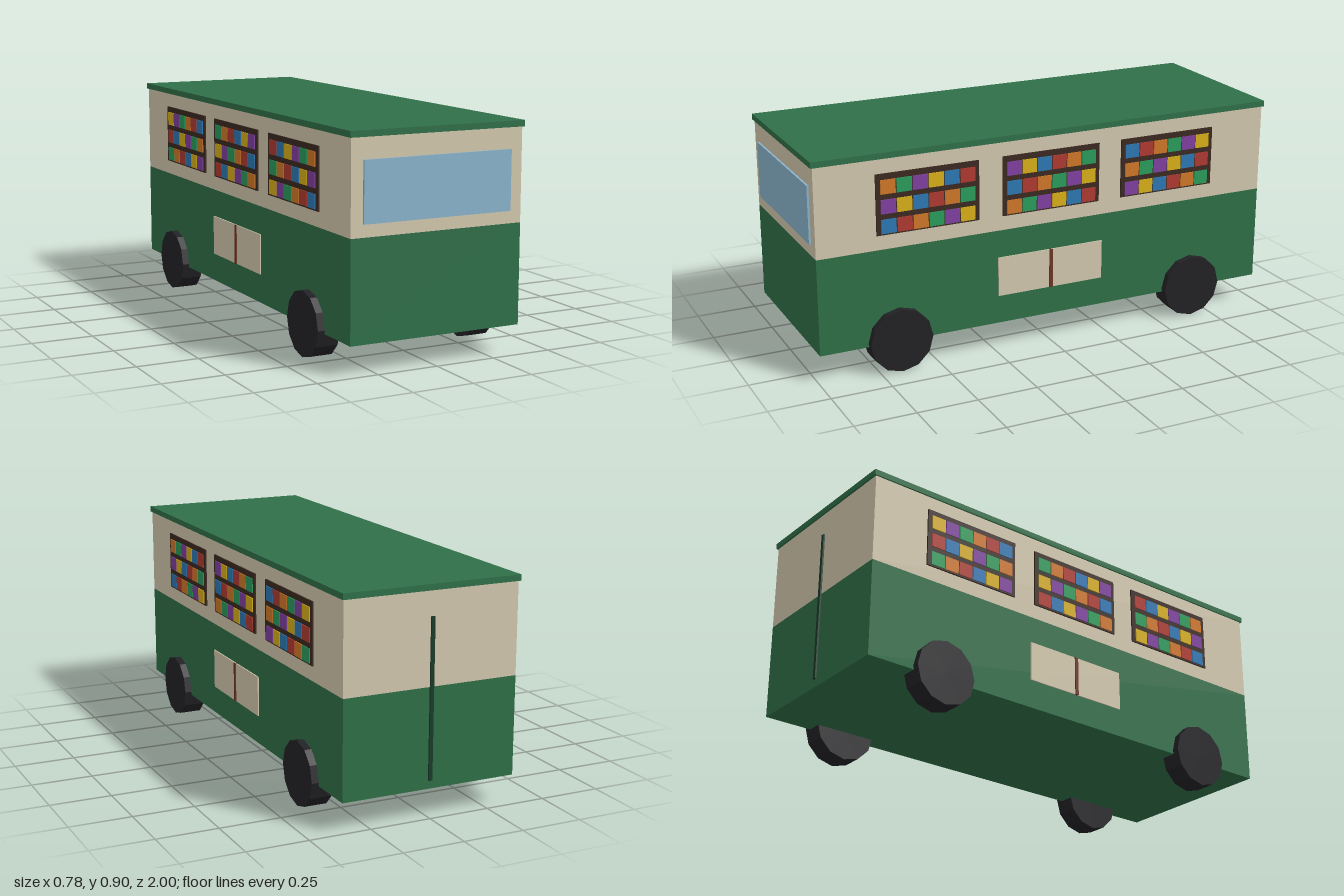
import * as THREE from 'three';

const mat = (color) => new THREE.MeshStandardMaterial({ color, flatShading: true });
const GREEN = mat(0x2f6f48), CREAM = mat(0xd3c8ae), GLASS = mat(0x8ab4cc), TYRE = mat(0x222226);
const WOOD = mat(0x3b2a20), TRIM = mat(0x6b3525), SEAM = mat(0x1a3a28);
// orange, green, purple, yellow, blue, red
const BOOKS = [0xd07828, 0x2a9d5c, 0x8040a0, 0xd8b018, 0x2e78b4, 0xb03a30].map(mat);

const WALL = 0.363, END = 0.992;

// box given by its lower and upper limits on each axis
function box(parent, name, material, [x0, x1], [y0, y1], [z0, z1]) {
  const mesh = new THREE.Mesh(new THREE.BoxGeometry(x1 - x0, y1 - y0, z1 - z0), material);
  mesh.position.set((x0 + x1) / 2, (y0 + y1) / 2, (z0 + z1) / 2);
  mesh.name = name;
  parent.add(mesh);
}

// thin panel on a side wall, standing out by depth
function sidePanel(parent, name, material, side, depth, y, z) {
  const x = side > 0 ? [WALL, WALL + depth] : [-WALL - depth, -WALL];
  box(parent, name, material, x, y, z);
}

function bookshelf(side, index) {
  const shelf = new THREE.Group();
  shelf.name = 'bookshelf';
  const zc = 0.532 * (1 - index);
  sidePanel(shelf, 'shelfBack', WOOD, side, 0.006, [0.573, 0.819], [zc - 0.215, zc + 0.215]);
  for (let row = 0; row < 3; row++) {
    const y = 0.767 - row * 0.0795;
    for (let col = 0; col < 6; col++) {
      const z = zc + (2.5 - col) * 0.0663;
      const color = BOOKS[(col + 2 * row + 2 * index) % 6];
      sidePanel(shelf, 'book', color, side, 0.01, [y - 0.0285, y + 0.0285], [z - 0.031, z + 0.031]);
    }
  }
  return shelf;
}

export function createModel() {
  const bus = new THREE.Group();
  bus.name = 'bookBus';

  // body and roof
  box(bus, 'lowerBody', GREEN, [-WALL, WALL], [0.117, 0.513], [-END, END]);
  box(bus, 'upperBody', CREAM, [-WALL, WALL], [0.513, 0.878], [-END, END]);
  box(bus, 'roof', GREEN, [-0.369, 0.369], [0.878, 0.902], [-1, 1]);

  // front window and the seam of the rear doors
  box(bus, 'windscreen', GLASS, [-0.313, 0.313], [0.562, 0.796], [END, 1]);
  box(bus, 'rearDoorSeam', SEAM, [-0.0075, 0.0075], [0.15, 0.78], [-0.999, -END]);

  const wheelShape = new THREE.CylinderGeometry(0.131, 0.131, 0.092, 12);
  wheelShape.rotateZ(Math.PI / 2);

  for (const side of [1, -1]) {
    // bookshelves along each side
    for (let i = 0; i < 3; i++) bus.add(bookshelf(side, i));

    // low double hatch
    sidePanel(bus, 'hatch', CREAM, side, 0.005, [0.235, 0.399], [-0.234, 0.234]);
    sidePanel(bus, 'hatchDivider', TRIM, side, 0.009, [0.235, 0.399], [-0.0075, 0.0075]);

    // wheels
    for (const z of [0.662, -0.662]) {
      const wheel = new THREE.Mesh(wheelShape, TYRE);
      wheel.name = z > 0 ? 'frontWheel' : 'rearWheel';
      wheel.position.set(side * 0.346, 0.131, z);
      bus.add(wheel);
    }
  }
  return bus;
}
